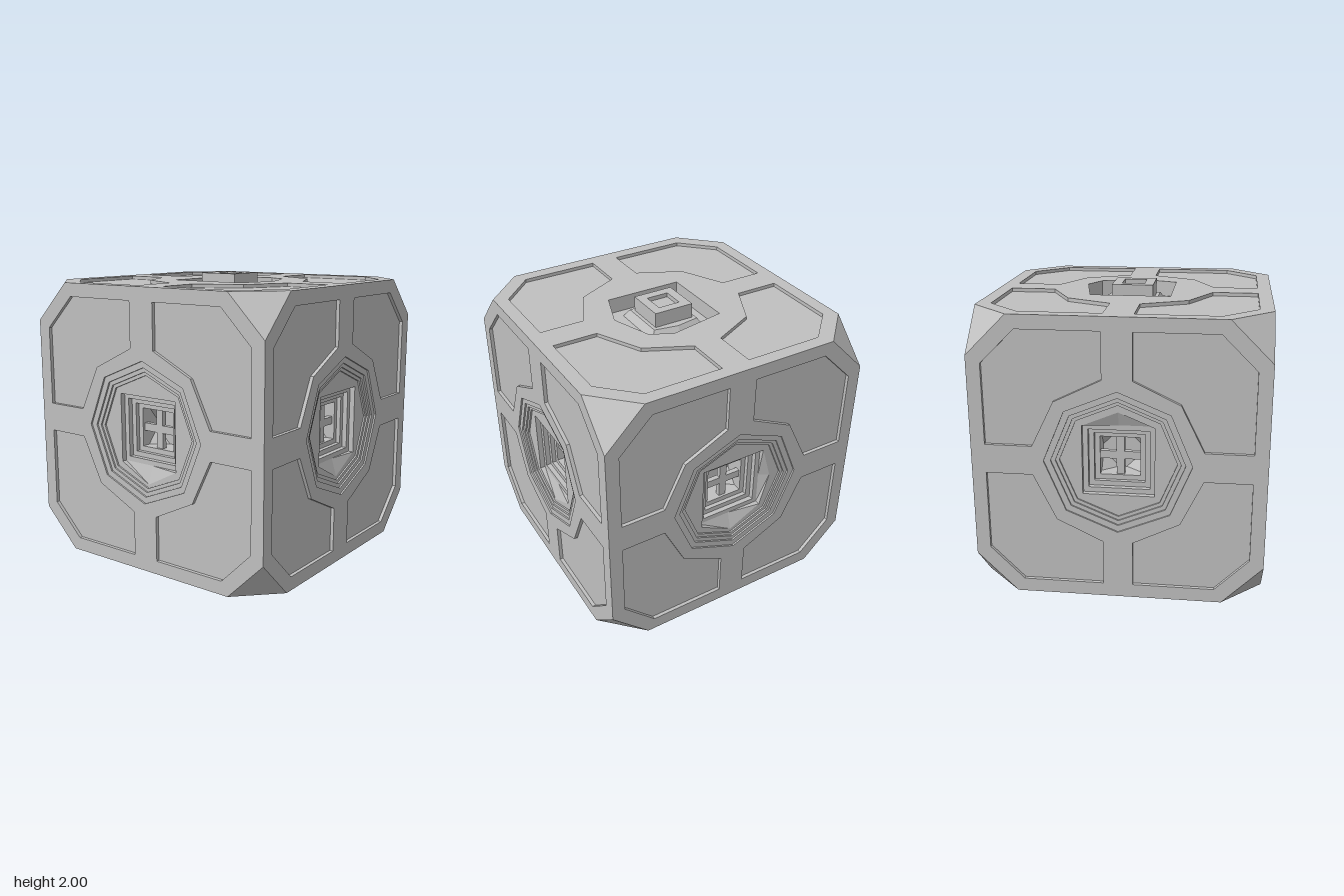
import * as THREE from 'three';
import { mergeGeometries } from 'three/addons/utils/BufferGeometryUtils.js';

const H = 0.975, CUT = 0.7;
const gray = new THREE.MeshStandardMaterial({ color: 0xc0c0c0, side: THREE.DoubleSide });
gray.name = 'stone gray';

// Flat sheet at height z, with holes
function flat(outer, holes, z) {
  const toV = pts => pts.map(p => new THREE.Vector2(p[0], p[1]));
  const shape = new THREE.Shape(toV(outer));
  holes.forEach(h => shape.holes.push(new THREE.Path(toV(h))));
  const g = new THREE.ShapeGeometry(shape).toNonIndexed();
  g.deleteAttribute('uv');
  return g.translate(0, 0, z);
}

// Band joining two loops: faces inward going down, outward going up
function wall(a, za, b, zb) {
  const v = [];
  a.forEach((p, i) => {
    const j = (i + 1) % a.length;
    v.push(...p, za, ...a[j], za, ...b[i], zb, ...a[j], za, ...b[j], zb, ...b[i], zb);
  });
  const g = new THREE.BufferGeometry();
  g.setAttribute('position', new THREE.Float32BufferAttribute(v, 3));
  g.computeVertexNormals();
  return g;
}

function part(name, geos) {
  const m = new THREE.Mesh(mergeGeometries(geos), gray);
  m.name = name;
  return m;
}

const square = s => [[s, -s], [s, s], [-s, s], [-s, -s]];
const octagon = r => Array.from({ length: 8 }, (_, i) =>
  [r * Math.cos(i * Math.PI / 4), r * Math.sin(i * Math.PI / 4)]);
const cutSquare = (s, c) => [[s, -s + c], [s, s - c], [s - c, s], [-s + c, s],
  [-s, s - c], [-s, -s + c], [-s + c, -s], [s - c, -s]];
// Square with side midpoints pushed outward: [right, top, left, bottom]
const notched = (s, n) => [[s, -s], [n[0] || s, 0], [s, s], [0, n[1] || s],
  [-s, s], [-(n[2] || s), 0], [-s, -s], [0, -(n[3] || s)]];

const panel = [[0.1, 0.565], [0.41, 0.415], [0.565, 0.1], [0.88, 0.1],
  [0.88, 0.65], [0.65, 0.88], [0.1, 0.88]];
const panels = [[1, 0], [0, 1], [-1, 0], [0, -1]].map(([c, s]) =>
  panel.map(([x, y]) => [x * c - y * s, x * s + y * c]));

// Face sheet with four sunken panels and an optional central opening
function facePlate(opening) {
  const group = new THREE.Group();
  group.add(part('facePlate', [flat(cutSquare(H, H - CUT), [...panels, ...(opening ? [opening] : [])], H)]));
  group.add(part('sunkenPanels', panels.flatMap(p =>
    [wall(p, H, p, H - 0.025), flat(p, [], H - 0.025)])));
  return group;
}

// Octagonal rings stepping into a square funnel with a barred window
function portFace(notches) {
  const group = facePlate(octagon(0.49));
  const radii = [0.49, 0.445, 0.415, 0.39], d = 0.012;
  const rings = [];
  for (let i = 0; i < 3; i++) {
    const a = octagon(radii[i]), z = H - d * (i + 1);
    rings.push(wall(a, z + d, a, z), flat(a, [octagon(radii[i + 1])], z));
  }
  const z0 = H - 3 * d, floor = z0 - d, rim = notched(0.24, notches);
  const inner = octagon(0.39);
  rings.push(wall(inner, z0, inner, floor), flat(inner, [rim], floor));
  group.add(part('octagonRings', rings));

  const sizes = [0.24, 0.205, 0.17, 0.135], depths = [0.085, 0.12, 0.15, 0.18];
  const steps = [wall(rim, floor, notched(0.24, []), H - depths[0])];
  for (let i = 0; i < 3; i++) {
    const s = square(sizes[i + 1]), z = H - depths[i];
    steps.push(flat(square(sizes[i]), [s], z), wall(s, z, s, H - depths[i + 1]));
  }
  group.add(part('squareFunnel', steps));

  // Cavity behind the bars, with sloping corners
  const top = cutSquare(0.135, 0), bottom = cutSquare(0.135, 0.11);
  group.add(part('windowCavity', [
    wall(top, H - 0.18, top, H - 0.21), wall(top, H - 0.21, bottom, H - 0.3), flat(bottom, [], H - 0.3)]));
  const bars = [[0.054, 0.27], [0.27, 0.054]].map(([w, h]) =>
    new THREE.BoxGeometry(w, h, 0.035).translate(0, 0, H - 0.185));
  group.add(part('windowBars', bars));
  return group;
}

// Irregular well holding a stepped square plug
function topFace() {
  const rim = [[0.28, 0.28], [0.36, -0.13], [0.28, -0.28], [0, -0.38],
    [-0.28, -0.28], [-0.28, 0.28]].reverse();
  const group = facePlate(rim);
  const floor = H - 0.11;
  group.add(part('topWell', [wall(rim, H, rim, floor), flat(rim, [], floor)]));
  const base = notched(0.205, [0.235]), ledge = notched(0.17, [0.2]);
  group.add(part('plugBase', [wall(base, floor, ledge, floor + 0.055), flat(ledge, [], floor + 0.055)]));
  const plug = square(0.145), dip = square(0.08), crown = 2 - H;
  group.add(part('plug', [wall(plug, floor + 0.055, plug, crown), flat(plug, [dip], crown),
    wall(dip, crown, dip, crown - 0.03), flat(dip, [], crown - 0.03)]));
  return group;
}

// Triangular facets closing the eight cut corners
function corners() {
  const v = [];
  for (const x of [-1, 1]) for (const y of [-1, 1]) for (const z of [-1, 1]) {
    const t = [[x * CUT, y * H, z * H], [x * H, y * CUT, z * H], [x * H, y * H, z * CUT]];
    if (x * y * z < 0) t.reverse();
    v.push(...t.flat());
  }
  const g = new THREE.BufferGeometry();
  g.setAttribute('position', new THREE.Float32BufferAttribute(v, 3));
  g.computeVertexNormals();
  return part('cornerFacets', [g]);
}

export function createModel() {
  const model = new THREE.Group();
  model.name = 'panelledCube';
  const body = new THREE.Group();
  body.name = 'body';
  body.position.y = H;
  model.add(body);

  const q = Math.PI / 2;
  const add = (name, face, rx, ry) => {
    face.name = name;
    face.rotation.set(rx, ry, 0);
    body.add(face);
  };
  add('frontFace', portFace([0, 0, 0, 0.365]), 0, 0);
  add('leftFace', portFace([0.31, 0, 0, 0.365]), 0, q);
  add('backFace', portFace([0, 0.34, 0, 0]), 0, 2 * q);
  add('rightFace', portFace([0, 0, 0, 0.365]), 0, -q);
  add('topFace', topFace(), -q, 0);
  add('bottomFace', facePlate(null), q, 0);
  body.add(corners());
  return model;
}
